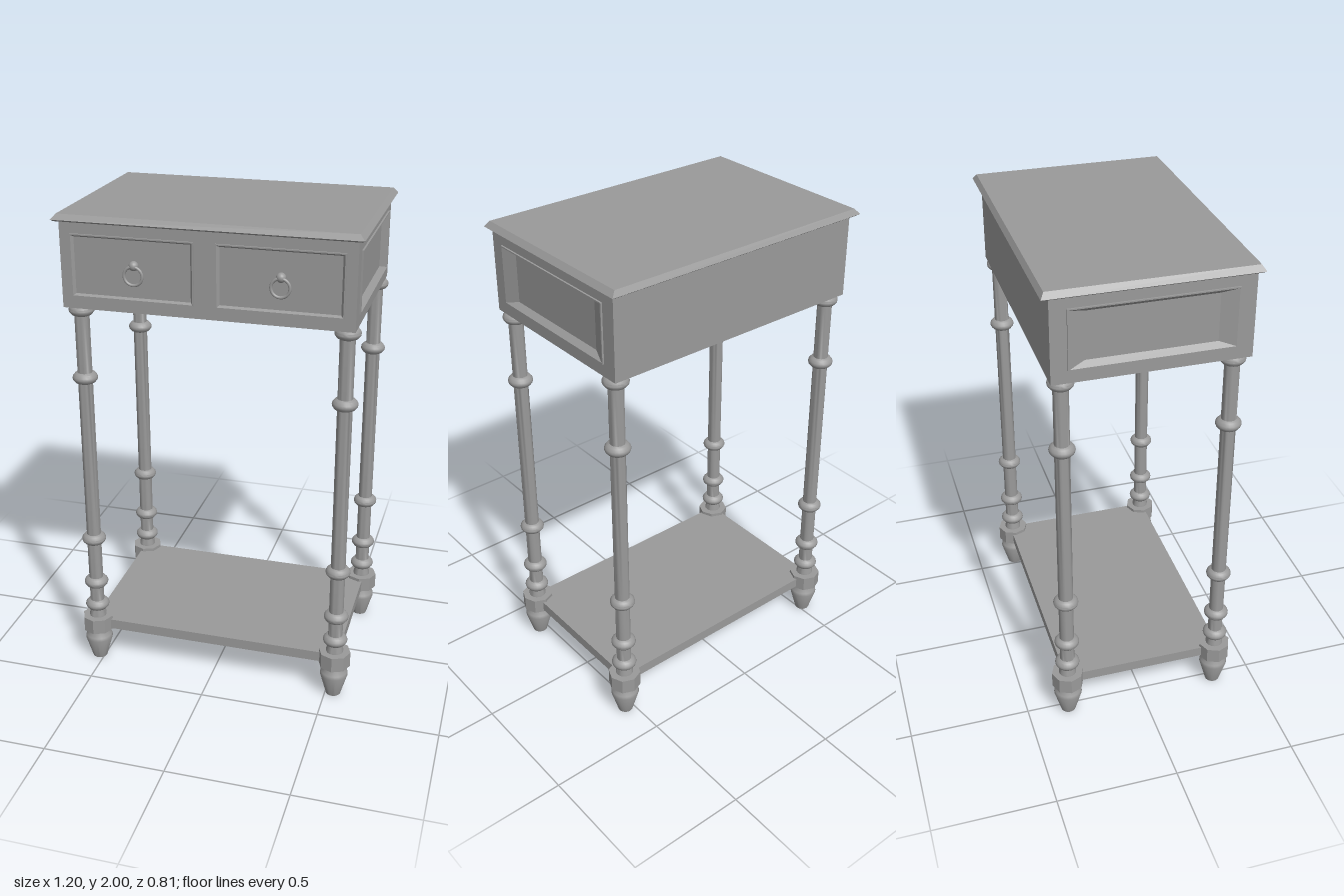
import * as THREE from 'three';
import { toCreasedNormals } from 'three/addons/utils/BufferGeometryUtils.js';

const material = new THREE.MeshStandardMaterial({ color: 0x9a9a9a });

function add(parent, name, geometry, x = 0, y = 0, z = 0) {
  const mesh = new THREE.Mesh(geometry, material);
  mesh.name = name;
  mesh.position.set(x, y, z);
  parent.add(mesh);
  return mesh;
}

// Joins rectangles [halfWidth, halfHeight, depth] in order along +z and caps the last one
function rectLoft(rings) {
  const pos = [];
  const corners = rings.map(([w, h, d]) => [[-w, -h, d], [w, -h, d], [w, h, d], [-w, h, d]]);
  const quad = (a, b, c, d) => pos.push(...a, ...b, ...c, ...a, ...c, ...d);
  for (let i = 0; i + 1 < corners.length; i++) {
    for (let k = 0; k < 4; k++) {
      const n = (k + 1) % 4;
      quad(corners[i][k], corners[i][n], corners[i + 1][n], corners[i + 1][k]);
    }
  }
  quad(...corners[corners.length - 1]);
  const geometry = new THREE.BufferGeometry();
  geometry.setAttribute('position', new THREE.Float32BufferAttribute(pos, 3));
  geometry.computeVertexNormals();
  return geometry;
}

// Raised-rim panel with a sloping recess
function panel(w, h, rimW, rimH, innerW, innerH, recess) {
  return rectLoft([
    [w, h, -0.035], [w, h, 0], [rimW, rimH, 0], [rimW, rimH, 0.007],
    [rimW - 0.005, rimH - 0.005, 0.007], [innerW, innerH, -recess],
  ]);
}

// Turned leg, with a rounded bead at each listed height
function legGeometry() {
  const profile = [[0, 0], [0.031, 0], [0.059, 0.098], [0.056, 0.112], [0.042, 0.13], [0.042, 0.15],
    [0.036, 0.2], [0.036, 0.22], [0.03, 0.24]];
  for (const y of [0.267, 0.379, 0.591, 1.326, 1.611]) {
    for (const [r, dy] of [[0.03, -0.023], [0.041, -0.018], [0.049, -0.008], [0.051, 0], [0.049, 0.008], [0.041, 0.018], [0.03, 0.023]]) {
      profile.push([r, y + dy]);
    }
  }
  profile.push([0.035, 1.64]);
  const points = profile.map(([r, y]) => new THREE.Vector2(r, y));
  return toCreasedNormals(new THREE.LatheGeometry(points, 24), 0.75);
}

export function createModel() {
  const table = new THREE.Group();
  table.name = 'sideTable';

  // Table top, steeply bevelled and widest near its underside
  const top = add(table, 'tableTop', rectLoft([
    [0.572, 0.38, 1.97], [0.586, 0.396, 1.971], [0.596, 0.406, 1.978], [0.577, 0.392, 2],
  ]), -0.003);
  top.rotation.x = -Math.PI / 2;

  // Drawer case
  const drawerCase = new THREE.Group();
  drawerCase.name = 'drawerCase';
  drawerCase.position.set(-0.002, 1.8035, 0.005);
  table.add(drawerCase);
  add(drawerCase, 'caseCore', new THREE.BoxGeometry(1.08, 0.343, 0.73), 0, 0, -0.015);
  const sidePanel = panel(0.38, 0.1715, 0.317, 0.12, 0.25, 0.096, 0.016);
  const drawerFront = panel(0.286, 0.1715, 0.244, 0.123, 0.23, 0.111, 0.004);
  for (const s of [-1, 1]) {
    add(drawerCase, s > 0 ? 'leftSidePanel' : 'rightSidePanel', sidePanel, s * 0.572).rotation.y = s * Math.PI / 2;
    add(drawerCase, s > 0 ? 'leftDrawerFront' : 'rightDrawerFront', drawerFront, s * 0.286, 0, 0.38);

    // Ring pull hanging from a small boss
    const pull = new THREE.Group();
    pull.name = s > 0 ? 'leftRingPull' : 'rightRingPull';
    pull.position.set(s * 0.284 + 0.007, 0, 0.38);
    drawerCase.add(pull);
    add(pull, 'pullBoss', new THREE.SphereGeometry(0.019, 16, 12), 0, 0.015, 0.002);
    add(pull, 'pullRing', new THREE.TorusGeometry(0.036, 0.006, 8, 28), 0, -0.022, 0.012);
  }
  // Back panel closes the ends behind the core
  add(drawerCase, 'backPanel', new THREE.BoxGeometry(1.144, 0.343, 0.03), 0, 0, -0.365);

  // Four legs with octagonal blocks, corners on the axes
  const legShape = legGeometry();
  const block = new THREE.CylinderGeometry(0.067, 0.067, 0.066, 8).toNonIndexed();
  block.computeVertexNormals();
  for (const sx of [-1, 1]) {
    for (const sz of [-1, 1]) {
      const leg = new THREE.Group();
      leg.name = (sz > 0 ? 'front' : 'back') + (sx > 0 ? 'Left' : 'Right') + 'Leg';
      leg.position.set(sx * 0.528 + 0.005, 0, sz * 0.328 + 0.001);
      table.add(leg);
      add(leg, 'turnedPost', legShape);
      add(leg, 'shelfBlock', block, 0, 0.177, 0);
    }
  }

  // Lower shelf
  add(table, 'lowerShelf', new THREE.BoxGeometry(1.08, 0.044, 0.68), 0.005, 0.174, 0.001);

  return table;
}
